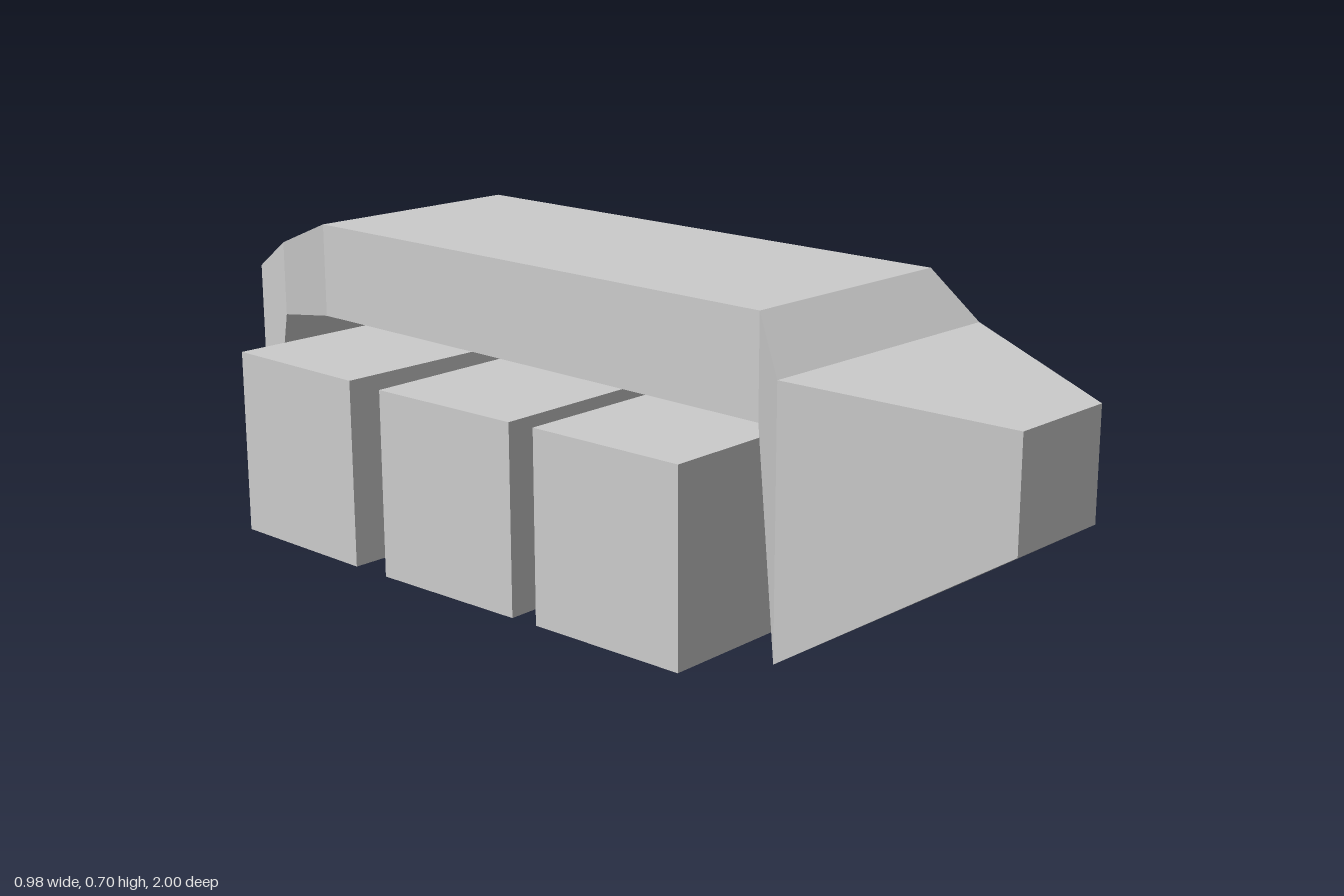
import * as THREE from 'three';

// Flat-shaded loft through rectangular rings [z, halfWidth, yBottom, yTop], ordered front to back
function loftRings(rings, cx) {
  const pos = [];
  const corners = rings.map(([z, w, y0, y1]) => [
    [cx - w, y0, z], [cx + w, y0, z], [cx + w, y1, z], [cx - w, y1, z],
  ]);
  const quad = (a, b, c, d) => pos.push(...a, ...b, ...c, ...a, ...c, ...d);
  for (let i = 0; i < corners.length - 1; i++) {
    const f = corners[i], r = corners[i + 1];
    for (let k = 0; k < 4; k++) {
      const n = (k + 1) % 4;
      quad(f[k], r[k], r[n], f[n]);
    }
  }
  const first = corners[0], last = corners[corners.length - 1];
  quad(first[0], first[1], first[2], first[3]);
  quad(last[1], last[0], last[3], last[2]);
  const geo = new THREE.BufferGeometry();
  geo.setAttribute('position', new THREE.Float32BufferAttribute(pos, 3));
  geo.computeVertexNormals();
  return geo;
}

export function createModel() {
  const group = new THREE.Group();
  const grey = new THREE.MeshStandardMaterial({ color: 0xcccccc, flatShading: true });
  grey.name = 'plain grey';

  // Body: tapered nose, raised back beam and drooping tail panel
  const body = new THREE.Mesh(loftRings([
    [1.0, 0.133, 0.285, 0.528],
    [0.58, 0.328, 0.016, 0.587],
    [0.49, 0.275, 0.476, 0.698],
    [-0.83, 0.275, 0.482, 0.698],
    [-0.912, 0.328, 0.482, 0.653],
    [-1.0, 0.328, 0.016, 0.587],
  ], 0.017), grey);
  body.name = 'body';
  group.add(body);

  // Full-width blocks under the body: [name, x, z, width, depth, yBottom, yTop, turn]
  const blocks = [
    ['frontBlock', 0, 0.253, 0.913, 0.385, 0.006, 0.428, 0.026],
    ['middleBlock', 0.006, -0.213, 0.941, 0.388, 0.002, 0.424, 0.036],
    ['rearBlock', 0, -0.658, 0.978, 0.382, 0.011, 0.434, 0],
  ];
  for (const [name, x, z, w, d, y0, y1, turn] of blocks) {
    const block = new THREE.Mesh(new THREE.BoxGeometry(w, y1 - y0, d), grey);
    block.position.set(x, (y0 + y1) / 2, z);
    block.rotation.y = turn;
    block.name = name;
    group.add(block);
  }
  return group;
}
